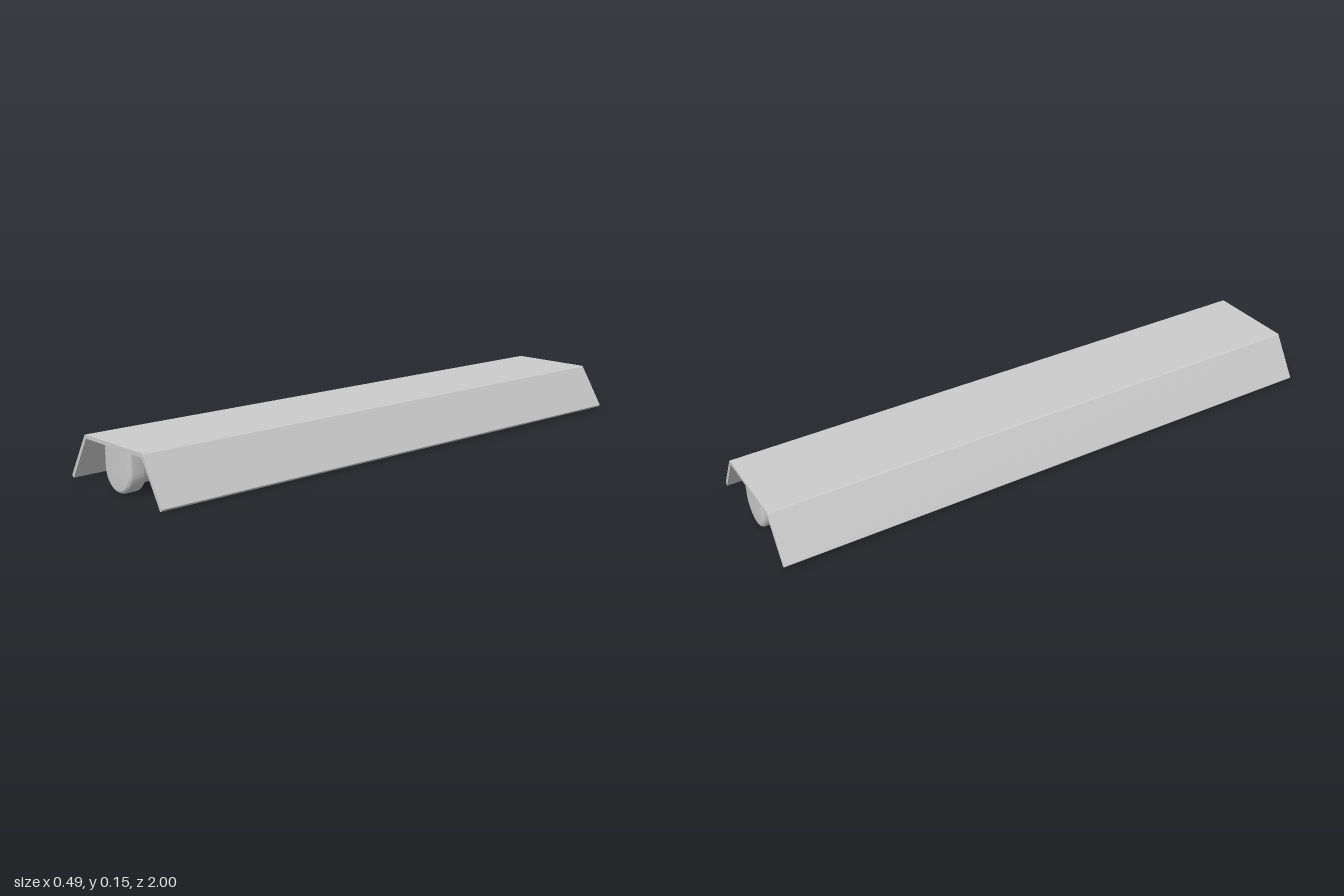
import * as THREE from 'three';
import { toCreasedNormals } from 'three/addons/utils/BufferGeometryUtils.js';

const material = new THREE.MeshStandardMaterial({ color: 0xcccccc });
const AXIS_Y = 0.071; // height of the tube's centre line

function addMesh(parent, name, geometry) {
  const mesh = new THREE.Mesh(geometry, material);
  mesh.name = name;
  parent.add(mesh);
  return mesh;
}

// Folded sheet reflector: half profile mirrored, then extruded along z
function reflectorGeometry() {
  const outer = [[0.154, 0.153], [0.158, 0.151], [0.246, 0.011], [0.245, 0.008], [0.238, 0.003], [0.235, 0.004]];
  const inner = [[0.153, 0.138], [0.149, 0.141]];
  const half = [...outer, ...inner];
  const mirrored = half.map(([x, y]) => [-x, y]).reverse();
  const shape = new THREE.Shape([...half, ...mirrored].map(([x, y]) => new THREE.Vector2(x, y)));
  const geometry = new THREE.ExtrudeGeometry(shape, { depth: 2, bevelEnabled: false });
  return geometry.translate(0, 0, -1);
}

// U-shaped lamp holder with rounded rim and a flat top
function holderGeometry() {
  const r = 0.07, top = 0.137, bevel = 0.012, thickness = 0.058;
  const shape = new THREE.Shape();
  shape.moveTo(r, top + bevel);
  shape.lineTo(-r, top + bevel);
  shape.lineTo(-r, AXIS_Y);
  shape.absarc(0, AXIS_Y, r, Math.PI, Math.PI * 2, false);
  shape.lineTo(r, top + bevel);
  const geometry = new THREE.ExtrudeGeometry(shape, {
    depth: thickness - 2 * bevel, curveSegments: 20,
    bevelSize: bevel, bevelOffset: -bevel, bevelThickness: bevel, bevelSegments: 4,
  });
  const p = geometry.attributes.position;
  for (let i = 0; i < p.count; i++) p.setY(i, Math.min(p.getY(i), top));
  geometry.translate(0, 0, 0.99 - thickness + bevel);
  return toCreasedNormals(geometry, 0.6);
}

// Turned part lying along z, from [radius, z] pairs
function turned(profile) {
  const points = profile.map(([r, z]) => new THREE.Vector2(r, z));
  const geometry = new THREE.LatheGeometry(points, 32);
  geometry.rotateX(Math.PI / 2).translate(0, AXIS_Y, 0);
  return toCreasedNormals(geometry, 0.6);
}

export function createModel() {
  const model = new THREE.Group();
  model.name = 'tubeLight';
  addMesh(model, 'reflector', reflectorGeometry());

  // Glass tube with softened shoulders
  addMesh(model, 'tube', turned([
    [0, -0.84], [0.046, -0.84], [0.05, -0.837], [0.052, -0.83],
    [0.052, 0.83], [0.05, 0.837], [0.046, 0.84], [0, 0.84],
  ]));

  // Matching holder, socket and cap at each end
  for (const [name, angle] of [['frontEnd', 0], ['backEnd', Math.PI]]) {
    const end = new THREE.Group();
    end.name = name;
    end.rotation.y = angle;
    addMesh(end, 'lampHolder', holderGeometry());
    addMesh(end, 'socket', turned([[0, 0.89], [0.045, 0.89], [0.049, 0.894], [0.049, 0.94], [0, 0.94]]));
    addMesh(end, 'tubeCap', turned([[0, 0.83], [0.046, 0.83], [0.046, 0.885], [0.042, 0.887], [0.042, 0.895], [0, 0.895]]));
    model.add(end);
  }
  return model;
}
